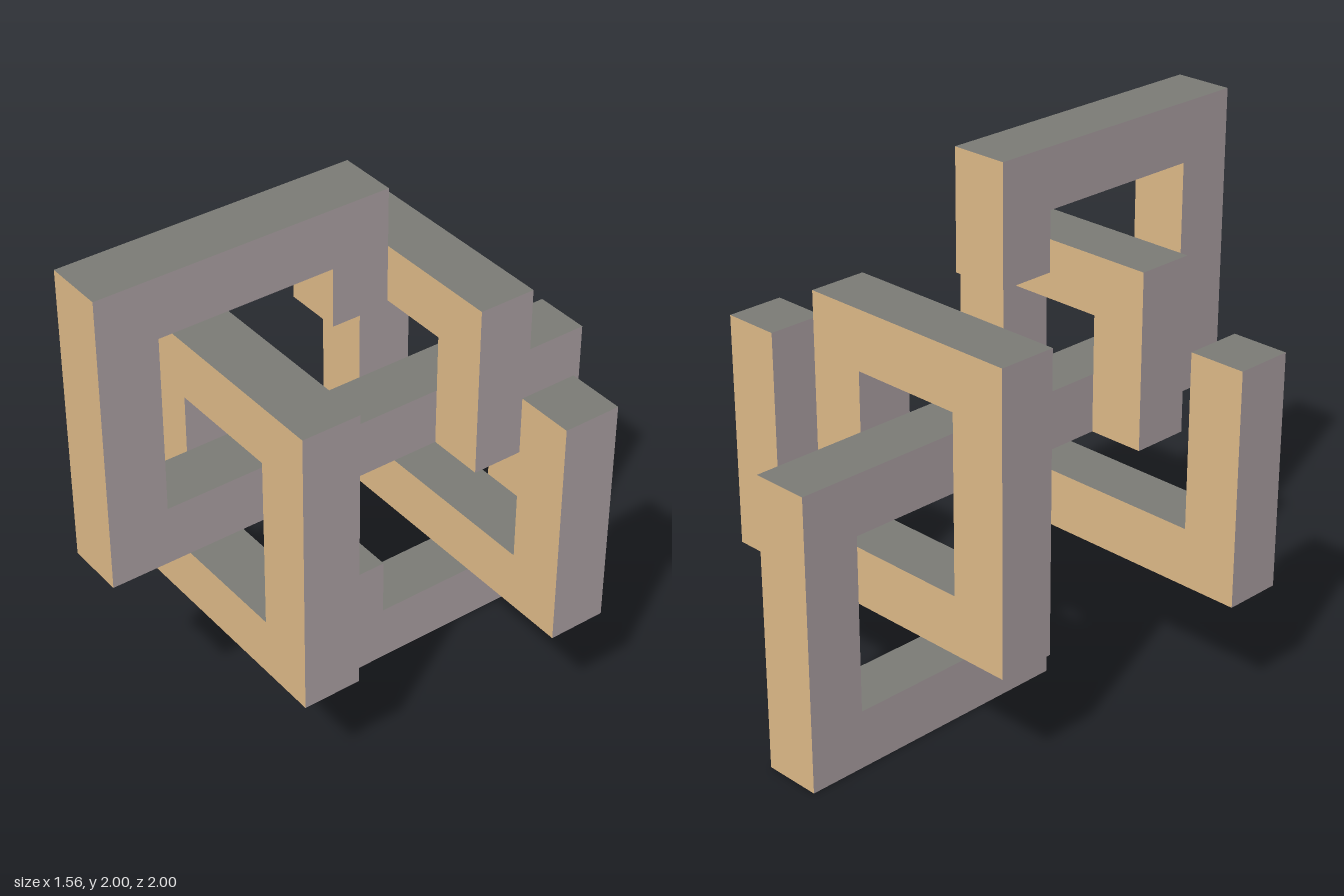
import * as THREE from 'three';

const U = 1 / 9; // grid unit: every bar is 2 units thick

// One colour per facing axis: x mauve, y dark grey, z tan
const materials = [0xb3a7aa, 0x7c7c77, 0xe0bb89].map(
  (color) => new THREE.MeshStandardMaterial({ color, flatShading: true }),
);

// Square bar following a right-angled centre line, with mitred corners and flat ends
function bentBar(path) {
  const normal = (a, b) => [-Math.sign(b[1] - a[1]), Math.sign(b[0] - a[0])];
  const left = [], right = [];
  path.forEach(([x, y], i) => {
    let nx = 0, ny = 0;
    if (i > 0) {
      const n = normal(path[i - 1], path[i]);
      nx += n[0]; ny += n[1];
    }
    if (i < path.length - 1) {
      const n = normal(path[i], path[i + 1]);
      nx += n[0]; ny += n[1];
    }
    left.push(new THREE.Vector2((x + nx) * U, (y + ny) * U));
    right.unshift(new THREE.Vector2((x - nx) * U, (y - ny) * U));
  });
  const geometry = new THREE.ExtrudeGeometry(new THREE.Shape([...left, ...right]), {
    depth: 2 * U, bevelEnabled: false,
  });
  return geometry.translate(0, 0, -U);
}

// Give every triangle the material of the axis it faces
function colourByAxis(geometry) {
  const normals = geometry.attributes.normal;
  geometry.clearGroups();
  for (let i = 0; i < normals.count; i += 3) {
    const n = [normals.getX(i), normals.getY(i), normals.getZ(i)];
    geometry.addGroup(i, 3, n.findIndex((c) => Math.abs(c) > 0.5));
  }
  return geometry;
}

export function createModel() {
  const group = new THREE.Group();
  const add = (name, geometry) => {
    const mesh = new THREE.Mesh(geometry, materials);
    mesh.name = name;
    group.add(mesh);
    return mesh;
  };

  // S-shaped spine standing in the middle plane, drawn as (z, y)
  const spine = bentBar([[0, 14], [0, 17], [8, 17], [8, 9], [-8, 9], [-8, 1], [0, 1], [0, 4]]);
  add('spine', colourByAxis(spine.rotateY(-Math.PI / 2)));

  // Two identical spiral hooks across the spine, one turned half round
  const spiral = colourByAxis(bentBar([[-6, 12], [-6, 5], [4, 5], [4, 13], [-2, 13], [-2, 8]]));
  add('frontSpiral', spiral).position.z = 4 * U;
  const back = add('backSpiral', spiral);
  back.position.z = -4 * U;
  back.rotation.y = Math.PI;

  return group;
}
